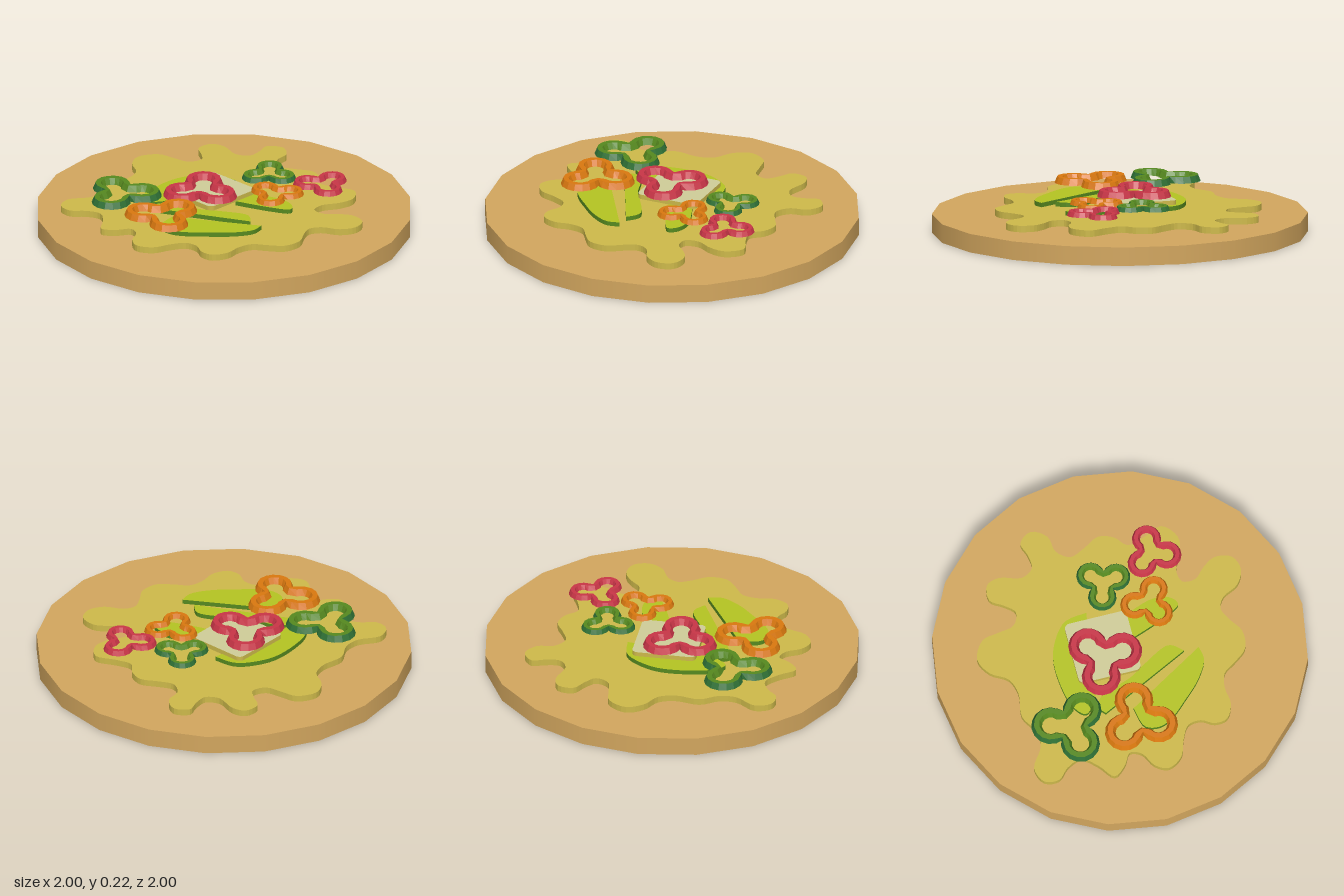
import * as THREE from 'three';

const mat = (name, color) => new THREE.MeshStandardMaterial({ name, color });

// Extrude a shape drawn in (x, z) between two heights; caps and rim can differ in colour
function slab(name, shape, bottom, top, capMat, rimMat) {
  const geo = new THREE.ExtrudeGeometry(shape, { depth: top - bottom, bevelEnabled: false, curveSegments: 24 });
  geo.rotateX(Math.PI / 2).translate(0, top, 0);
  const mesh = new THREE.Mesh(geo, [capMat, rimMat]);
  mesh.name = name;
  return mesh;
}

// Closed smooth outline
function blobShape(pts) {
  const curve = new THREE.CatmullRomCurve3(pts.map(([x, z]) => new THREE.Vector3(x, z, 0)), true);
  return new THREE.Shape(curve.getPoints(pts.length * 4).slice(0, -1).map(p => new THREE.Vector2(p.x, p.y)));
}

// Curved outline closed by one straight cut
function sliceShape(pts) {
  const curve = new THREE.SplineCurve(pts.map(([x, z]) => new THREE.Vector2(x, z)));
  return new THREE.Shape(curve.getPoints(pts.length * 4));
}

function roundedSquare(x0, z0, x1, z1, r) {
  const s = new THREE.Shape();
  s.absarc(x1 - r, z1 - r, r, 0, Math.PI / 2);
  s.absarc(x0 + r, z1 - r, r, Math.PI / 2, Math.PI);
  s.absarc(x0 + r, z0 + r, r, Math.PI, Math.PI * 1.5);
  s.absarc(x1 - r, z0 + r, r, Math.PI * 1.5, Math.PI * 2);
  return s;
}

// Three-lobed ring with a tapered section: outer wall is group 0, the rest group 1
function pepperGeometry() {
  const lobeDist = 0.108, height = 0.034, steps = 9;
  // lobe radius, notch radius, arc half angle, height
  const section = [
    [0.104, 0.095, 110, 0], [0.09, 0.086, 112, height],
    [0.062, 0.066, 122, height], [0.047, 0.05, 130, 0]
  ];
  const loops = section.map(([r, notch, half, y]) => {
    const loop = [];
    for (let l = 0; l < 3; l++) {
      const a = l * Math.PI * 2 / 3;
      for (let i = 0; i <= steps; i++) {
        const b = a + THREE.MathUtils.degToRad(half) * (2 * i / steps - 1);
        loop.push([lobeDist * Math.cos(a) + r * Math.cos(b), y, lobeDist * Math.sin(a) + r * Math.sin(b)]);
      }
      const n = a + Math.PI / 3;
      loop.push([notch * Math.cos(n), y, notch * Math.sin(n)]);
    }
    return loop;
  });
  const pos = [], count = loops[0].length;
  for (let k = 0; k < 4; k++) {
    const A = loops[k], B = loops[(k + 1) % 4];
    for (let i = 0; i < count; i++) {
      const j = (i + 1) % count;
      for (const p of [A[i], B[i], B[j], A[i], B[j], A[j]]) pos.push(...p);
    }
  }
  const geo = new THREE.BufferGeometry();
  geo.setAttribute('position', new THREE.Float32BufferAttribute(pos, 3));
  geo.addGroup(0, count * 6, 0);
  geo.addGroup(count * 6, count * 18, 1);
  geo.computeVertexNormals();
  return geo;
}

export function createModel() {
  const group = new THREE.Group();
  const crust = mat('crust', 0xd2a65e);
  const sauce = mat('sauce', 0xcdb94a);
  const lime = mat('avocado flesh', 0xb4c422);
  const cheese = mat('cheese', 0xcfcc98);
  const red = mat('red pepper', 0xc83547);
  const orange = mat('orange pepper', 0xd9780f);
  const green = mat('green pepper flesh', 0x56891f);
  const darkGreen = mat('green pepper skin', 0x2f7035);

  // Flat bread base
  const base = new THREE.Mesh(new THREE.CylinderGeometry(1, 1, 0.1, 20), crust);
  base.position.y = 0.05;
  base.name = 'base';
  group.add(base);

  // Spilled sauce
  group.add(slab('sauce', blobShape([
    [-0.30, -0.74], [-0.22, -0.69], [-0.20, -0.60], [-0.13, -0.55], [-0.05, -0.58], [0.04, -0.625],
    [0.12, -0.60], [0.18, -0.54], [0.27, -0.56], [0.38, -0.60], [0.45, -0.52], [0.44, -0.43],
    [0.395, -0.34], [0.41, -0.27], [0.48, -0.265], [0.54, -0.32], [0.61, -0.36], [0.70, -0.34],
    [0.73, -0.26], [0.69, -0.18], [0.60, -0.13], [0.57, -0.07], [0.60, 0.00], [0.65, 0.08],
    [0.64, 0.18], [0.57, 0.24], [0.50, 0.29], [0.48, 0.37], [0.49, 0.46], [0.45, 0.54],
    [0.38, 0.55], [0.31, 0.515], [0.24, 0.525], [0.195, 0.60], [0.16, 0.69], [0.08, 0.735],
    [0.01, 0.70], [-0.04, 0.62], [-0.10, 0.60], [-0.14, 0.66], [-0.21, 0.71], [-0.28, 0.63],
    [-0.36, 0.57], [-0.44, 0.60], [-0.50, 0.655], [-0.58, 0.645], [-0.615, 0.56], [-0.55, 0.45],
    [-0.55, 0.36], [-0.605, 0.26], [-0.59, 0.13], [-0.62, 0.04], [-0.71, -0.02], [-0.755, -0.11],
    [-0.70, -0.21], [-0.61, -0.23], [-0.52, -0.25], [-0.49, -0.32], [-0.54, -0.37], [-0.61, -0.42],
    [-0.60, -0.505], [-0.53, -0.53], [-0.41, -0.50], [-0.345, -0.54], [-0.35, -0.62], [-0.37, -0.69]
  ]), 0.1, 0.135, sauce, sauce));

  // Avocado slices
  [
    [[-0.13, -0.215], [-0.26, -0.19], [-0.35, -0.06], [-0.37, 0.08], [-0.34, 0.26], [-0.27, 0.34], [-0.20, 0.26]],
    [[0.02, -0.13], [0.20, -0.2], [0.31, -0.195], [0.355, -0.14], [0.27, -0.09], [0.17, -0.05], [0.07, -0.015]],
    [[0.32, 0.12], [0.24, 0.07], [0.10, 0.14], [0.00, 0.2], [-0.15, 0.25], [-0.2, 0.31], [-0.17, 0.36]],
    [[0.40, 0.12], [0.41, 0.20], [0.35, 0.30], [0.26, 0.39], [0.17, 0.47], [0.09, 0.505], [0.01, 0.48], [-0.02, 0.37]]
  ].forEach((pts, i) => group.add(slab('avocadoSlice' + (i + 1), sliceShape(pts), 0.135, 0.159, lime, green)));

  // Cheese square
  group.add(slab('cheese', roundedSquare(-0.265, -0.17, 0.075, 0.173, 0.03), 0.157, 0.183, cheese, sauce));

  // Pepper rings: x, z, scale, turn of the first lobe in degrees, skin, flesh
  const pepper = pepperGeometry();
  [
    ['frontOrangePepper', -0.01, 0.445, 1, -90, orange, orange],
    ['middleRedPepper', -0.105, 0.065, 1, -8, red, red],
    ['frontGreenPepper', -0.37, 0.397, 1, 77, darkGreen, green],
    ['backGreenPepper', -0.005, -0.345, 0.73, -13, darkGreen, green],
    ['backOrangePepper', 0.205, -0.18, 0.73, 183, orange, orange],
    ['backRedPepper', 0.29, -0.45, 0.75, -96, red, red]
  ].forEach(([name, x, z, size, turn, skin, flesh]) => {
    const ring = new THREE.Mesh(pepper, [skin, flesh]);
    ring.name = name;
    ring.position.set(x, 0.184, z);
    ring.scale.setScalar(size);
    ring.rotation.y = -THREE.MathUtils.degToRad(turn);
    group.add(ring);
  });
  return group;
}
